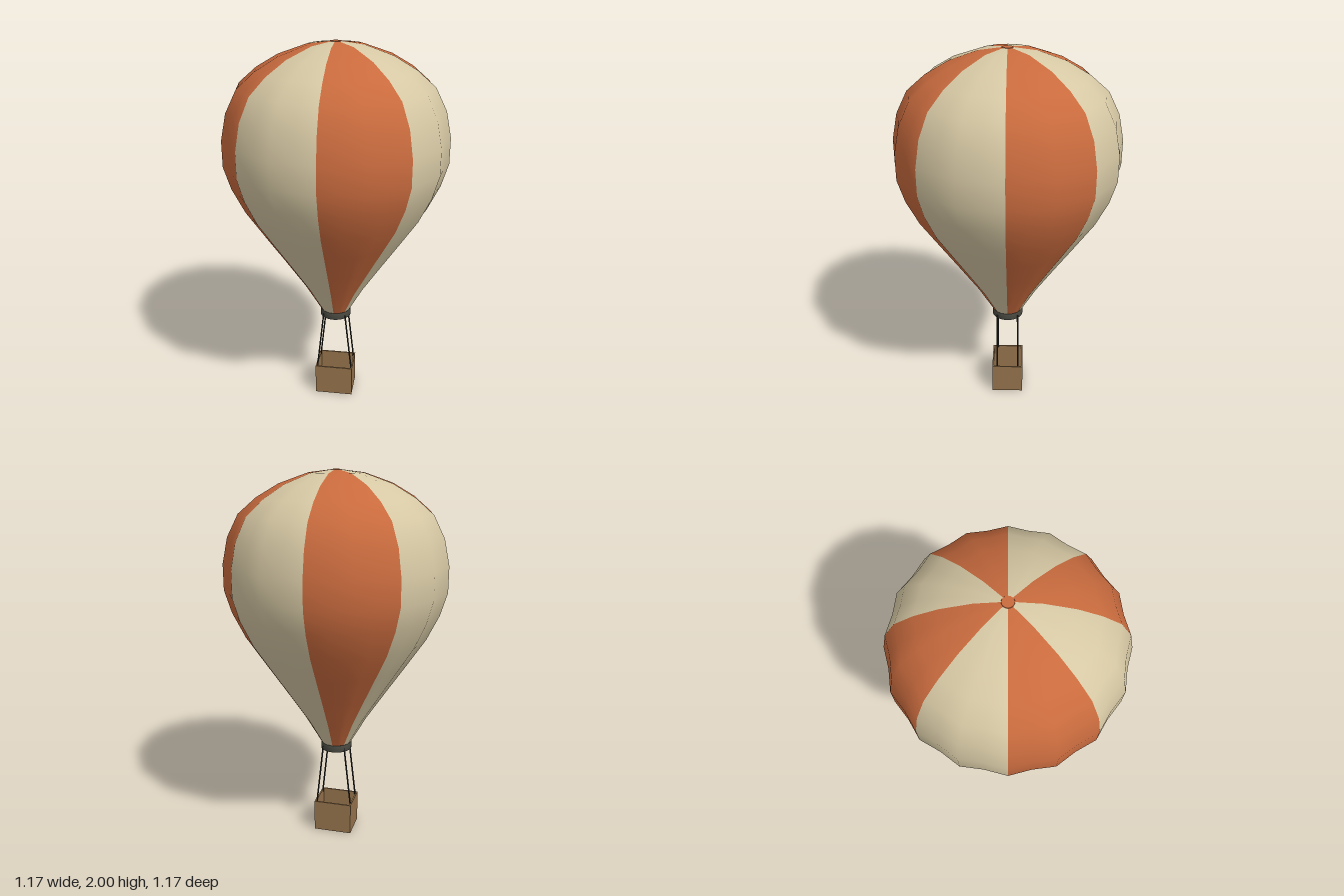
import * as THREE from 'three';
import { mergeVertices } from 'three/addons/utils/BufferGeometryUtils.js';

function material(name, color, side = THREE.FrontSide) {
  const m = new THREE.MeshStandardMaterial({ color, side });
  m.name = name;
  return m;
}

export function createModel() {
  const model = new THREE.Group();
  model.name = 'hotAirBalloon';

  const orange = material('orangeFabric', 0xc96b3e, THREE.DoubleSide);
  const cream = material('creamFabric', 0xd6c8a4, THREE.DoubleSide);
  const dark = material('darkRing', 0x4a4a42);
  const rope = material('blackRope', 0x2a2a28);
  const wicker = material('brownWicker', 0x94724c);

  const add = (parent, name, geometry, mat) => {
    const mesh = new THREE.Mesh(geometry, mat);
    mesh.name = name;
    parent.add(mesh);
    return mesh;
  };

  // Envelope: revolved teardrop, pulled in between its 16 ribs
  const profile = [
    [0.078, 0.52], [0.17, 0.68], [0.28, 0.845], [0.385, 1.0], [0.482, 1.145],
    [0.548, 1.28], [0.584, 1.4], [0.584, 1.535], [0.556, 1.67], [0.498, 1.785],
    [0.405, 1.865], [0.29, 1.932], [0.145, 1.983], [0.028, 1.998], [0, 1.998],
  ].map(([x, y]) => new THREE.Vector2(x, y));
  const segments = 32;
  let envelope = new THREE.LatheGeometry(profile, segments);
  const pos = envelope.attributes.position;
  for (let i = 0; i < pos.count; i++) {
    const column = Math.floor(i / profile.length);
    const k = column % 2 ? 0.968 : 1;
    pos.setXYZ(i, pos.getX(i) * k, pos.getY(i), pos.getZ(i) * k);
  }
  envelope.deleteAttribute('normal');
  envelope.deleteAttribute('uv');
  envelope = mergeVertices(envelope, 1e-5);
  envelope.computeVertexNormals();
  // Eight alternating panels
  const panelIndices = envelope.index.count / 8;
  for (let i = 0; i < 8; i++) envelope.addGroup(i * panelIndices, panelIndices, i % 2);
  add(model, 'envelope', envelope, [orange, cream]);

  // Crown patch
  add(model, 'crownCap', new THREE.CylinderGeometry(0.028, 0.03, 0.004, 16), orange)
    .position.y = 1.998;

  // Hollow mouth ring
  const ringProfile = [
    [0.077, 0.49], [0.085, 0.49], [0.085, 0.528], [0.077, 0.528], [0.077, 0.49],
  ].map(([x, y]) => new THREE.Vector2(x, y));
  add(model, 'mouthRing', new THREE.LatheGeometry(ringProfile, 32), dark);

  // Four ropes, spreading out to the basket ends
  const ropes = new THREE.Group();
  ropes.name = 'ropes';
  model.add(ropes);
  for (const sx of [-1, 1]) {
    for (const sz of [-1, 1]) {
      const path = new THREE.LineCurve3(
        new THREE.Vector3(sx * 0.098, 0.165, sz * 0.06),
        new THREE.Vector3(sx * 0.06, 0.51, sz * 0.057),
      );
      add(ropes, 'rope', new THREE.TubeGeometry(path, 1, 0.0045, 6), rope);
    }
  }

  // Open basket: floor and four thin walls
  const basket = new THREE.Group();
  basket.name = 'basket';
  model.add(basket);
  const W = 0.21, D = 0.176, H = 0.175, T = 0.008;
  add(basket, 'basketFloor', new THREE.BoxGeometry(W, T, D), wicker).position.y = T / 2;
  for (const s of [-1, 1]) {
    add(basket, 'basketLongWall', new THREE.BoxGeometry(W, H, T), wicker)
      .position.set(0, H / 2, s * (D - T) / 2);
    add(basket, 'basketEndWall', new THREE.BoxGeometry(T, H, D), wicker)
      .position.set(s * (W - T) / 2, H / 2, 0);
  }
  return model;
}
